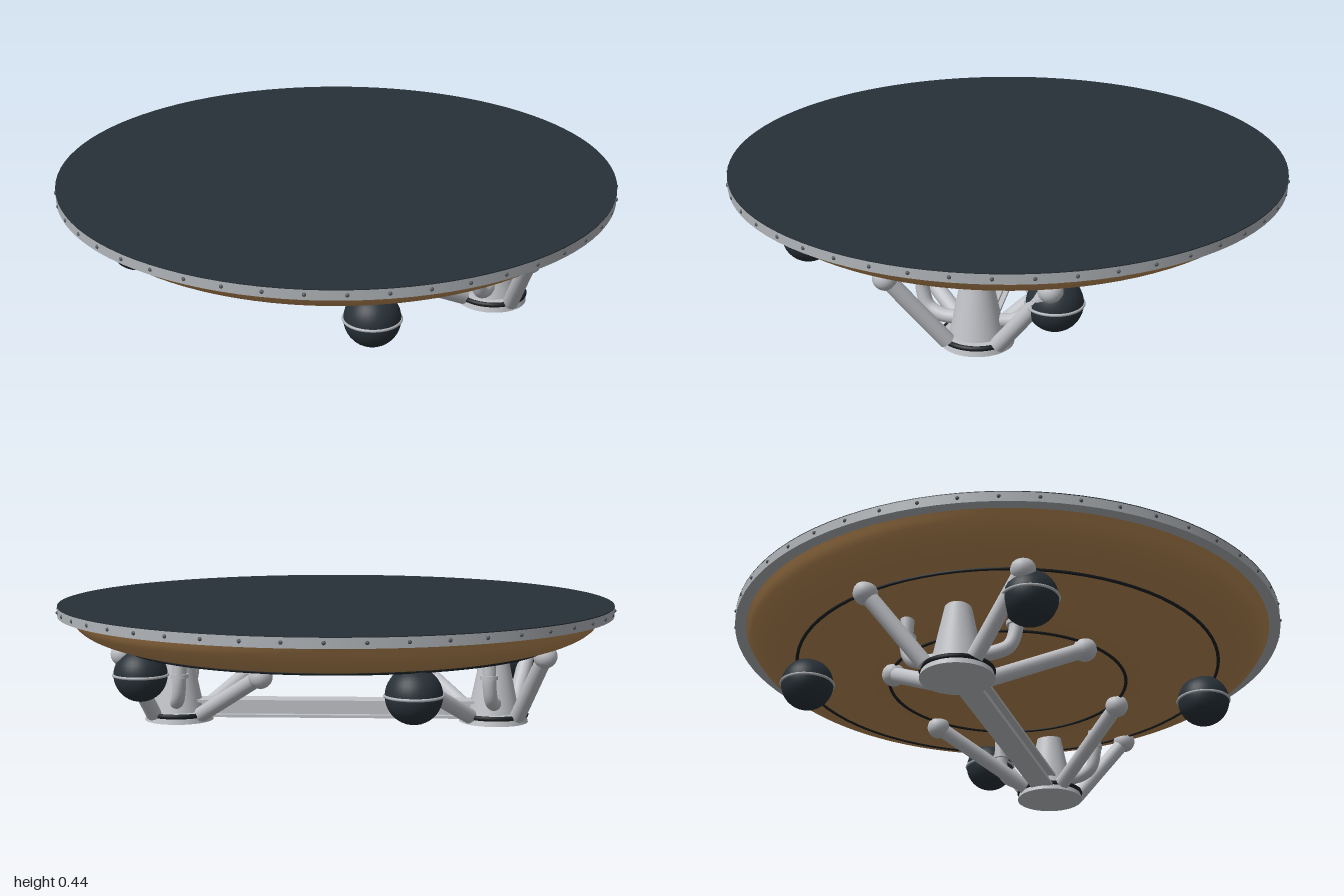
import * as THREE from 'three';

const mat = (name, color) => Object.assign(new THREE.MeshStandardMaterial({ color }), { name });

export function createModel() {
  const dark = mat('charcoal', 0x283138);
  const brown = mat('bronze', 0xb98a54);
  const grey = mat('light grey', 0xc0c2c7);
  const rimGrey = mat('rim grey', 0xb0b4b8);
  const rivetGrey = mat('rivet grey', 0x565b60);
  const black = mat('black trim', 0x1b1f21);
  brown.side = THREE.DoubleSide;

  const model = new THREE.Group();
  model.name = 'platform';
  const add = (name, geo, material, x = 0, y = 0, z = 0, parent = model) => {
    const m = new THREE.Mesh(geo, material);
    m.name = name;
    m.position.set(x, y, z);
    parent.add(m);
    return m;
  };
  const cyl = (rt, rb, h, n = 40) => new THREE.CylinderGeometry(rt, rb, h, n);
  const V = (x, y, z) => new THREE.Vector3(x, y, z);

  // Round rod between two points
  const rod = (name, a, b, r, material, parent) => {
    const m = add(name, cyl(r, r, a.distanceTo(b), 16), material, 0, 0, 0, parent);
    m.position.copy(a).lerp(b, 0.5);
    m.quaternion.setFromUnitVectors(V(0, 1, 0), b.clone().sub(a).normalize());
  };
  // Flat-lying ring
  const hoop = (name, r, tube, material, y, parent = model, x = 0) => {
    add(name, new THREE.TorusGeometry(r, tube, 8, 80), material, x, y, 0, parent).rotation.x = Math.PI / 2;
  };

  // Deck: rim band with a dark top plate
  add('rim', cyl(0.994, 0.994, 0.034, 96), rimGrey, 0, 0.419, 0);
  add('deckPlate', cyl(0.994, 0.994, 0.003, 96), dark, 0, 0.4375, 0);

  // Rivets around the rim
  for (let i = 0; i < 48; i++) {
    const a = (i / 48) * Math.PI * 2;
    add('rivet', new THREE.SphereGeometry(0.007, 8, 6), rivetGrey, Math.cos(a) * 0.993, 0.42, Math.sin(a) * 0.993);
  }

  // Shallow bowl under the deck
  const curve = new THREE.SplineCurve([
    [0, 0.224], [0.2, 0.227], [0.43, 0.24], [0.6, 0.261], [0.765, 0.292],
    [0.86, 0.32], [0.92, 0.355], [0.955, 0.404],
  ].map(([x, y]) => new THREE.Vector2(x, y)));
  add('bowl', new THREE.LatheGeometry(curve.getPoints(40), 96), brown);
  hoop('outerSeam', 0.765, 0.006, black, 0.291);
  hoop('innerSeam', 0.43, 0.006, black, 0.239);

  // Four hanging spheres with an equator band
  for (let i = 0; i < 4; i++) {
    const a = Math.atan2(0.67, 0.275) + (i * Math.PI) / 2;
    const pod = new THREE.Group();
    pod.name = 'spherePod';
    pod.position.set(Math.cos(a) * 0.724, 0.206, Math.sin(a) * 0.724);
    model.add(pod);
    add('sphere', new THREE.SphereGeometry(0.094, 32, 20), dark, 0, 0, 0, pod);
    hoop('sphereBand', 0.094, 0.005, rimGrey, 0, pod);
  }

  // Landing legs, one on each side
  for (const s of [-1, 1]) {
    const leg = new THREE.Group();
    leg.name = s > 0 ? 'leftLeg' : 'rightLeg';
    model.add(leg);
    const px = s * 0.575;
    add('footPad', cyl(0.117, 0.125, 0.034), grey, px, 0.017, 0, leg);
    hoop('footTrim', 0.118, 0.009, black, 0.027, leg, px);
    add('pillar', cyl(0.045, 0.092, 0.23), grey, px, 0.15, 0, leg);

    for (const t of [-1, 1]) {
      // Outward and inward struts with ball joints
      const struts = [
        [V(s * 0.655, 0.03, t * 0.085), V(s * 0.732, 0.278, t * 0.27)],
        [V(s * 0.485, 0.03, t * 0.075), V(s * 0.245, 0.214, t * 0.35)],
      ];
      for (const [a, b] of struts) {
        rod('strut', a, b, 0.028, grey, leg);
        add('ballJoint', new THREE.SphereGeometry(0.042, 20, 14), grey, b.x, b.y, b.z, leg);
      }
      // Elbow pipe rising into the bowl
      const path = new THREE.CatmullRomCurve3([
        V(s * 0.575, 0.08, t * 0.05), V(s * 0.568, 0.082, t * 0.12), V(s * 0.555, 0.105, t * 0.17),
        V(s * 0.547, 0.16, t * 0.19), V(s * 0.545, 0.265, t * 0.19),
      ]);
      add('elbowPipe', new THREE.TubeGeometry(path, 24, 0.024, 14), grey, 0, 0, 0, leg);
      add('pipeCollar', cyl(0.031, 0.031, 0.014, 20), grey, s * 0.545, 0.19, t * 0.19, leg);
    }
  }

  // Flanged beam joining the two feet
  add('beamWeb', new THREE.BoxGeometry(1.1, 0.05, 0.035), grey, 0, 0.046, 0);
  for (const y of [0.019, 0.073]) {
    add('beamFlange', new THREE.BoxGeometry(1.1, 0.01, 0.085), grey, 0, y, 0);
  }

  return model;
}
